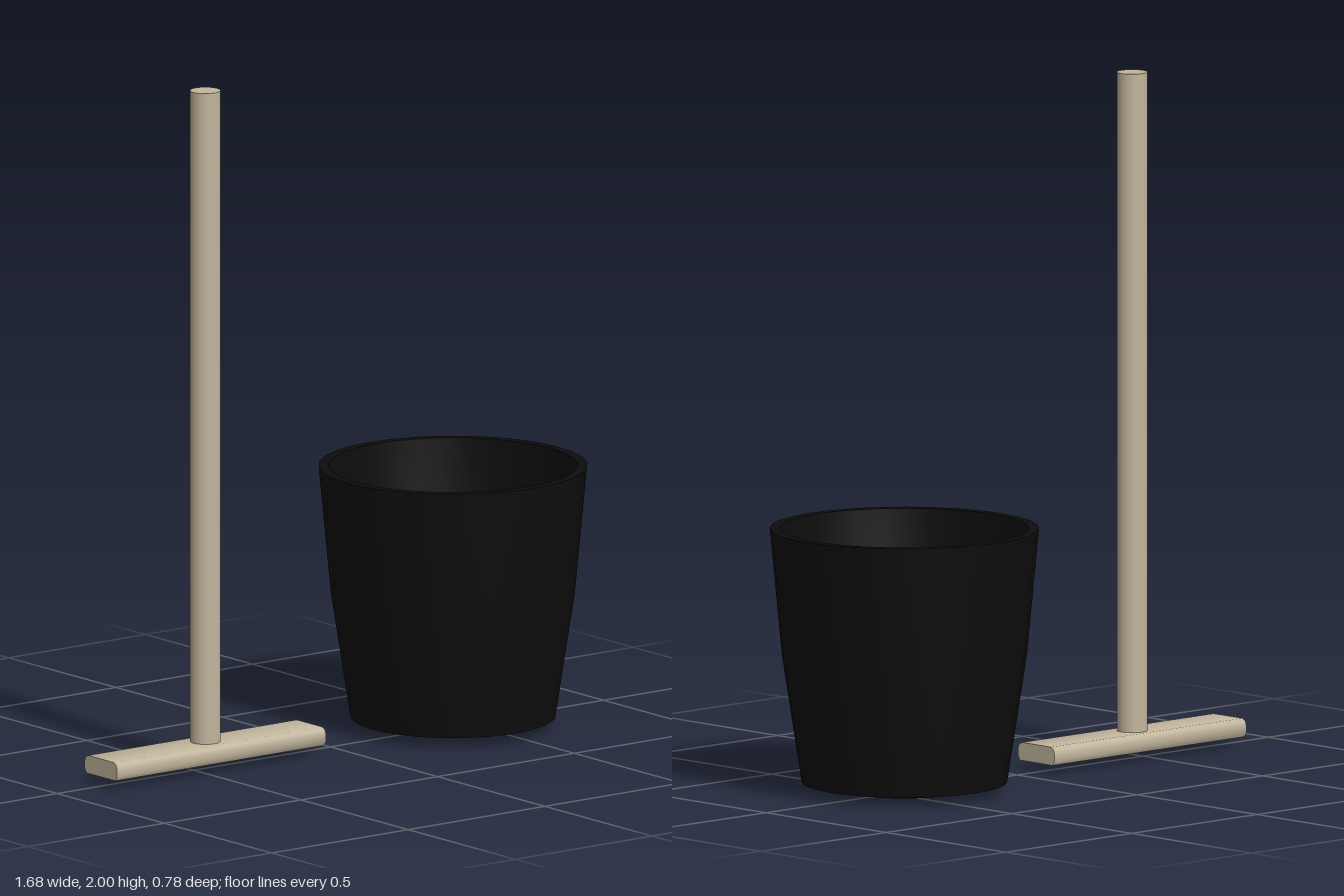
import * as THREE from 'three';
import { toCreasedNormals } from 'three/addons/utils/BufferGeometryUtils.js';

export function createModel() {
  const model = new THREE.Group();
  const wood = new THREE.MeshStandardMaterial({ color: 0xc2b69d, side: THREE.DoubleSide });
  wood.name = 'paleWood';
  const black = new THREE.MeshStandardMaterial({ color: 0x0d0d0d });
  black.name = 'blackPlastic';

  const add = (parent, name, geometry, material, x, y) => {
    const mesh = new THREE.Mesh(geometry, material);
    mesh.name = name;
    mesh.position.set(x, y, 0);
    parent.add(mesh);
    return mesh;
  };

  // Broom: round pole on a long head
  const broom = new THREE.Group();
  broom.name = 'broom';
  model.add(broom);
  const broomX = -0.458;
  add(broom, 'pole', new THREE.CylinderGeometry(0.044, 0.044, 1.93, 32), wood, broomX, 1.035);

  // Head shell: softened long edges, closed ends, open underneath
  const length = 0.764;
  const half = [[0.068, 0.027], [0.076, 0.04], [0.076, 0.062], [0.072, 0.073], [0.06, 0.08]];
  const section = [...half, ...half.map(([z, y]) => [-z, y]).reverse()];
  const endShape = new THREE.Shape(section.map(([z, y]) => new THREE.Vector2(z, y)));
  const positions = [];
  for (let i = 0; i < section.length - 1; i++) {
    const [z0, y0] = section[i], [z1, y1] = section[i + 1];
    const l = length / 2;
    positions.push(-l, y0, z0, l, y0, z0, l, y1, z1, -l, y0, z0, l, y1, z1, -l, y1, z1);
  }
  const shell = new THREE.BufferGeometry();
  shell.setAttribute('position', new THREE.Float32BufferAttribute(positions, 3));
  add(broom, 'headShell', toCreasedNormals(shell, 0.9), wood, broomX, 0);
  for (const side of [-1, 1]) {
    const end = add(broom, 'headEnd', new THREE.ShapeGeometry(endShape), wood, broomX + side * length / 2, 0);
    end.rotation.y = side * Math.PI / 2;
  }

  // Bucket: outer wall with shallow tapered base, rim, inner wall and floor
  const profile = [
    [0, 0], [0.14, 0.003], [0.296, 0.03], [0.353, 0.4], [0.388, 0.77],
    [0.36, 0.77], [0.326, 0.4], [0.262, 0.05], [0, 0.05],
  ].map(([r, y]) => new THREE.Vector2(r, y));
  const bucket = toCreasedNormals(new THREE.LatheGeometry(profile, 32), 0.4);
  add(model, 'bucket', bucket, black, 0.449, 0);

  return model;
}
